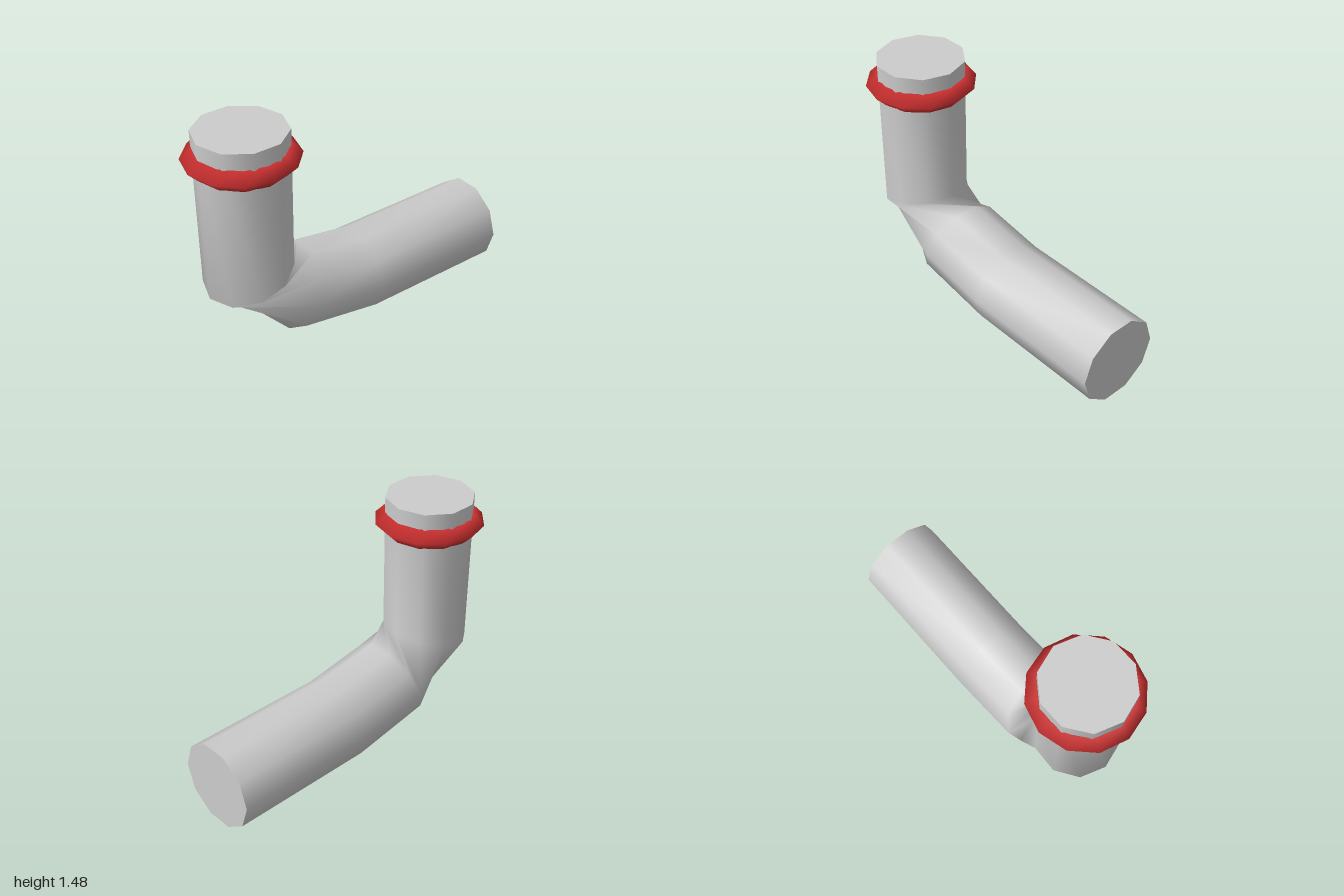
import * as THREE from 'three';

const SIDES = 10;
const RADIUS = 0.265;

// Cross-sections from the upright top, through the bend, to the back end.
// y, z: centre; tilt: degrees turned from level to upright; twist: degrees around the axis
const SECTIONS = [
  { y: 1.475, z: 0.67, tilt: 0, twist: 0 },
  { y: 0.553, z: 0.67, tilt: 14.5, twist: 0 },
  { y: 0.331, z: 0.37, tilt: 69, twist: 54 },
  { y: 0.252, z: -0.095, tilt: 86.6, twist: 54 },
  { y: 0.252, z: -1, tilt: 90, twist: 54 },
];

// Skin the sections into one smooth open tube
function pipeGeometry() {
  const positions = [];
  const indices = [];
  SECTIONS.forEach((s, k) => {
    const tilt = THREE.MathUtils.degToRad(s.tilt);
    for (let i = 0; i < SIDES; i++) {
      const a = (i / SIDES) * Math.PI * 2 + THREE.MathUtils.degToRad(s.twist);
      const v = Math.cos(a) * RADIUS;
      positions.push(Math.sin(a) * RADIUS, s.y - Math.sin(tilt) * v, s.z + Math.cos(tilt) * v);
      if (k === 0) continue;
      const j = (i + 1) % SIDES;
      const p = (k - 1) * SIDES;
      const q = k * SIDES;
      indices.push(p + i, q + i, q + j, p + i, q + j, p + j);
    }
  });
  const geometry = new THREE.BufferGeometry();
  geometry.setAttribute('position', new THREE.Float32BufferAttribute(positions, 3));
  geometry.setIndex(indices);
  geometry.computeVertexNormals();
  return geometry;
}

export function createModel() {
  const model = new THREE.Group();
  model.name = 'elbowPipe';

  const grey = new THREE.MeshStandardMaterial({ color: 0xcccccc });
  grey.name = 'light grey';
  const red = new THREE.MeshStandardMaterial({ color: 0xcc3030 });
  red.name = 'red';

  const add = (name, geometry, material, y = 0, z = 0) => {
    const mesh = new THREE.Mesh(geometry, material);
    mesh.name = name;
    mesh.position.set(0, y, z);
    model.add(mesh);
  };

  add('pipe', pipeGeometry(), grey);

  // Flat end caps
  const top = SECTIONS[0];
  const end = SECTIONS[SECTIONS.length - 1];
  add('topCap', new THREE.CircleGeometry(RADIUS, SIDES, Math.PI / 2).rotateX(-Math.PI / 2), grey, top.y, top.z);
  add('backCap', new THREE.CircleGeometry(RADIUS, SIDES).rotateY(Math.PI), grey, end.y, end.z);

  // Diamond-section collar near the top
  add('collar', new THREE.TorusGeometry(0.265, 0.062, 4, 12).rotateX(Math.PI / 2), red, 1.32, 0.67);

  return model;
}
